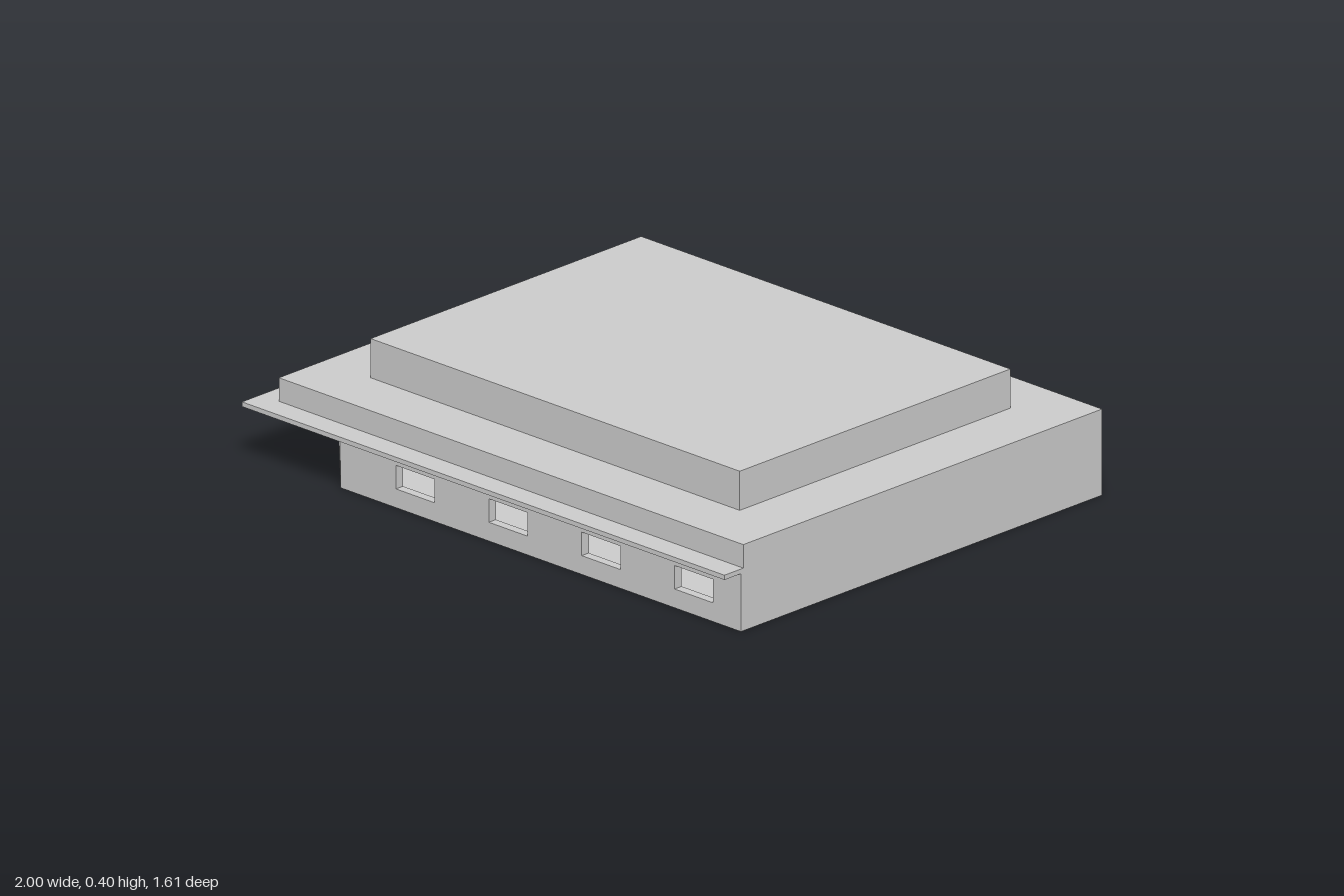
import * as THREE from 'three';

const FLOOR = 0.02, WALL_TOP = 0.185, THICK = 0.03;

export function createModel() {
  const building = new THREE.Group();
  building.name = 'building';
  const material = new THREE.MeshStandardMaterial({ color: 0xcccccc, flatShading: true });

  function add(name, geometry) {
    const mesh = new THREE.Mesh(geometry, material);
    mesh.name = name;
    building.add(mesh);
    return mesh;
  }

  // Box given by its limits on each axis
  function block(name, x0, x1, y0, y1, z0, z1) {
    add(name, new THREE.BoxGeometry(x1 - x0, y1 - y0, z1 - z0))
      .position.set((x0 + x1) / 2, (y0 + y1) / 2, (z0 + z1) / 2);
  }

  function rectangle(target, x0, x1, y0, y1) {
    return target.moveTo(x0, y0).lineTo(x1, y0).lineTo(x1, y1).lineTo(x0, y1).closePath();
  }

  // Upright wall from a to b [x, z], outside on the right-hand side, with [s0, s1, y0, y1] openings
  function wall(name, a, b, openings = []) {
    const dx = b[0] - a[0], dz = b[1] - a[1];
    const shape = rectangle(new THREE.Shape(), 0, Math.hypot(dx, dz), FLOOR, WALL_TOP);
    for (const o of openings) shape.holes.push(rectangle(new THREE.Path(), ...o));
    const geometry = new THREE.ExtrudeGeometry(shape, { depth: THICK, bevelEnabled: false });
    geometry.translate(0, 0, -THICK);
    const mesh = add(name, geometry);
    mesh.rotation.y = Math.atan2(-dz, dx);
    mesh.position.set(a[0], 0, a[1]);
  }

  const windowAt = s => [s - 0.08, s + 0.08, 0.06, 0.135];

  // Footprint with one cut corner at the entrance
  const frontCut = [-0.66, 0.735], frontRight = [1, 0.735], backRight = [1, -0.8];
  const backLeft = [-0.925, -0.8], sideCut = [-0.925, 0.47];
  const outline = [frontCut, frontRight, backRight, backLeft, sideCut];

  const floorShape = new THREE.Shape(outline.map(([x, z]) => new THREE.Vector2(x, -z)));
  const floor = new THREE.ExtrudeGeometry(floorShape, { depth: FLOOR, bevelEnabled: false });
  floor.rotateX(-Math.PI / 2);
  add('floor', floor);

  // Outer walls
  wall('frontWall', frontCut, frontRight, [0, 1, 2, 3].map(i => windowAt(0.31 + i * 0.385)));
  wall('eastWall', frontRight, backRight);
  wall('backWall', backRight, backLeft);
  wall('westWall', backLeft, sideCut, [0, 1, 2].map(i => windowAt(0.155 + i * 0.385)));
  wall('entranceWall', sideCut, frontCut, [[0.028, 0.345, 0.025, 0.18]]);

  // Inner partitions
  block('longPartition', -0.58, 0.8, FLOOR, WALL_TOP, -0.12, -0.1);
  block('crossPartition', -0.6, -0.58, FLOOR, WALL_TOP, -0.7, -0.1);
  block('roomFront', -0.58, -0.03, FLOOR, WALL_TOP, -0.26, -0.24);
  block('roomBack', -0.58, -0.03, FLOOR, WALL_TOP, -0.635, -0.615);
  for (const x of [-0.34, -0.05]) block('roomDivider', x, x + 0.02, FLOOR, WALL_TOP, -0.615, -0.26);

  // Overhanging canopy and stepped roof
  block('canopy', -1, 1, WALL_TOP, 0.2, -0.8, 0.805);
  block('lowerRoof', -0.925, 1, 0.2, 0.275, -0.8, 0.725);
  block('upperRoof', -0.73, 0.8, 0.275, 0.4, -0.615, 0.535);

  return building;
}
